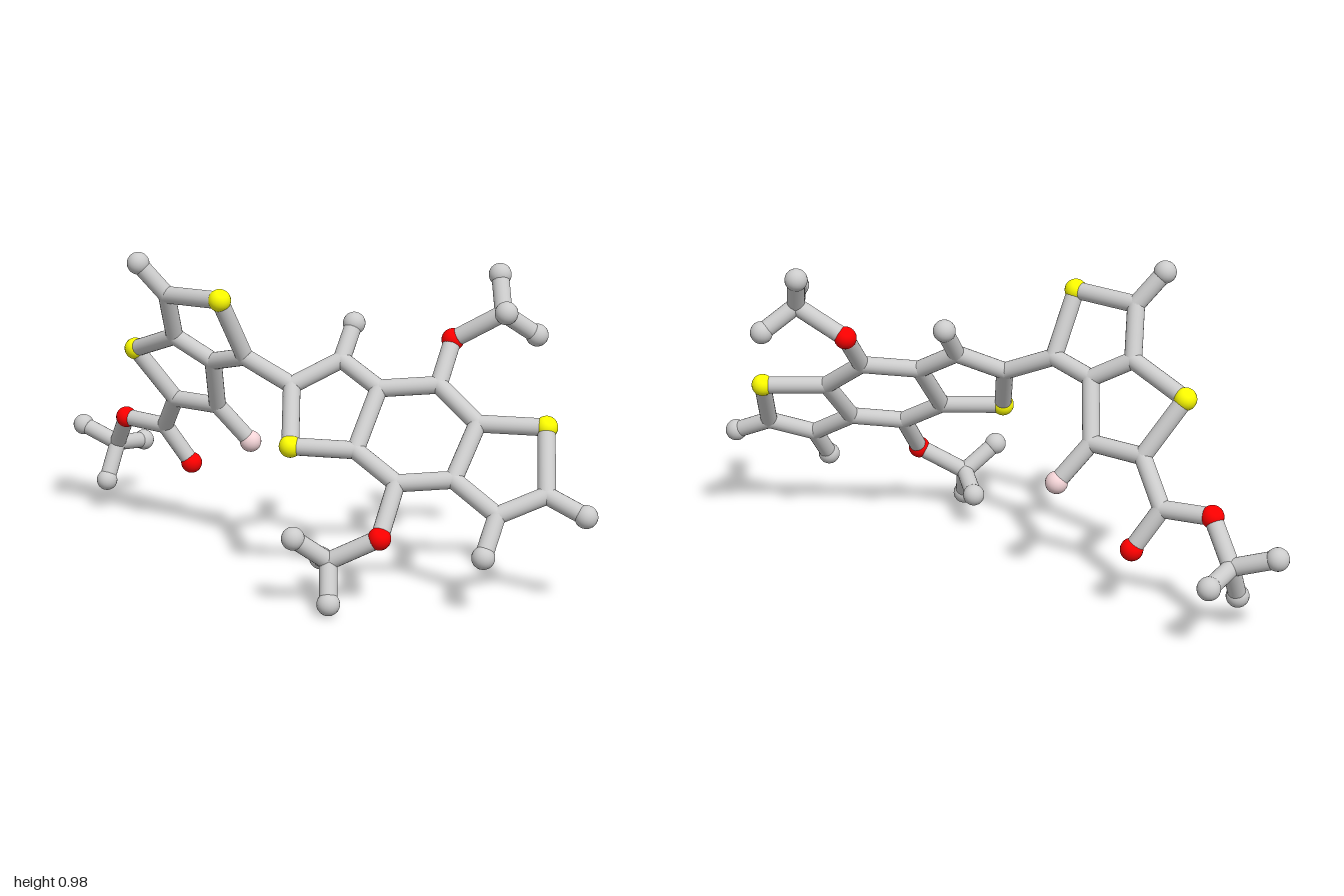
import * as THREE from 'three';

const GREY = 0xcccccc, YELLOW = 0xffff00, RED = 0xff0000, PINK = 0xf5d5d8;
const BOND_R = 0.027, BALL_R = 0.035;

// Joints: [x, y, z, kind]; kind: c = flush joint, h = end ball, s / o / p = coloured ball
const joints = {
  // left pair of fused five-sided rings
  sTop: [-0.152, 0.863, 0.16, 's'], cTop: [-0.365, 0.853, 0.135, 'c'], tipTop: [-0.438, 0.952, 0.181, 'h'],
  fuseA: [-0.393, 0.703, 0.056, 'c'], fuseB: [-0.265, 0.634, 0.031, 'c'], cLink: [-0.126, 0.671, 0.062, 'c'],
  sLeft: [-0.588, 0.628, 0, 's'], cLow: [-0.489, 0.457, -0.08, 'c'], cPink: [-0.313, 0.463, -0.063, 'c'],
  pink: [-0.227, 0.341, -0.124, 'p'],
  // left tail
  tailC: [-0.586, 0.334, -0.156, 'c'], tailO1: [-0.511, 0.206, -0.199, 'o'], tailO2: [-0.746, 0.34, -0.157, 'o'],
  tailM: [-0.833, 0.222, -0.22, 'c'], tailH1: [-0.968, 0.27, -0.208, 'h'],
  tailH2: [-0.832, 0.105, -0.154, 'h'], tailH3: [-0.815, 0.204, -0.348, 'h'],
  // inner ring of the right side
  link: [0.04, 0.602, 0.055, 'c'], cUp: [0.152, 0.674, -0.054, 'c'], tipUp: [0.147, 0.772, -0.138, 'h'],
  sInner: [0.104, 0.445, 0.167, 's'],
  // six-sided middle ring
  hexA: [0.286, 0.602, -0.05, 'c'], hexB: [0.447, 0.617, -0.132, 'c'], hexC: [0.591, 0.521, -0.112, 'c'],
  hexD: [0.58, 0.377, 0.018, 'c'], hexE: [0.43, 0.362, 0.095, 'c'], hexF: [0.286, 0.441, 0.09, 'c'],
  // outer ring
  sOuter: [0.778, 0.517, -0.195, 's'], cOut: [0.842, 0.348, -0.072, 'c'], cOutLow: [0.73, 0.294, 0.027, 'c'],
  tipOut: [0.963, 0.298, -0.087, 'h'], tipOutLow: [0.73, 0.188, 0.111, 'h'],
  // upper branch
  upO: [0.438, 0.736, -0.237, 'o'], upM: [0.588, 0.828, -0.276, 'c'], upH1: [0.543, 0.932, -0.338, 'h'],
  upH2: [0.652, 0.856, -0.162, 'h'], upH3: [0.664, 0.754, -0.356, 'h'],
  // lower branch
  lowO: [0.441, 0.225, 0.214, 'o'], lowM: [0.3, 0.146, 0.27, 'c'], lowH1: [0.228, 0.227, 0.353, 'h'],
  lowH2: [0.214, 0.111, 0.17, 'h'], lowH3: [0.338, 0.038, 0.333, 'h'],
};

// Each chain is a run of joints connected by rods
const chains = {
  leftRings: ['cLink sTop cTop fuseA fuseB cLink', 'fuseA sLeft cLow cPink fuseB', 'cTop tipTop', 'cPink pink'],
  leftTail: ['cLow tailC tailO2 tailM tailH1', 'tailC tailO1', 'tailH2 tailM tailH3'],
  bridge: ['cLink link'],
  innerRing: ['hexF sInner link cUp hexA', 'cUp tipUp'],
  middleRing: ['hexA hexB hexC hexD hexE hexF hexA'],
  outerRing: ['hexC sOuter cOut cOutLow hexD', 'cOut tipOut', 'cOutLow tipOutLow'],
  upperBranch: ['hexB upO upM upH1', 'upH2 upM upH3'],
  lowerBranch: ['hexE lowO lowM lowH1', 'lowH2 lowM lowH3'],
};

const kinds = {
  c: ['joint', BOND_R, GREY], h: ['endBall', BALL_R, GREY], s: ['yellowBall', BALL_R, YELLOW],
  o: ['redBall', BALL_R, RED], p: ['pinkBall', BALL_R, PINK],
};

export function createModel() {
  const model = new THREE.Group();
  model.name = 'ballAndStickModel';
  const materials = {};
  const material = (color) => (materials[color] ??= new THREE.MeshStandardMaterial({ color }));
  const position = (name) => new THREE.Vector3(...joints[name].slice(0, 3));
  const up = new THREE.Vector3(0, 1, 0);

  // Rods
  for (const [name, runs] of Object.entries(chains)) {
    const group = new THREE.Group();
    group.name = name;
    for (const run of runs) {
      const names = run.split(' ');
      for (let i = 1; i < names.length; i++) {
        const a = position(names[i - 1]), b = position(names[i]);
        const rod = new THREE.Mesh(
          new THREE.CylinderGeometry(BOND_R, BOND_R, a.distanceTo(b), 20, 1, true), material(GREY));
        rod.name = 'rod';
        rod.position.copy(a).lerp(b, 0.5);
        rod.quaternion.setFromUnitVectors(up, b.sub(a).normalize());
        group.add(rod);
      }
    }
    model.add(group);
  }

  // Balls and flush joints
  const balls = new THREE.Group();
  balls.name = 'balls';
  for (const [name, joint] of Object.entries(joints)) {
    const [label, radius, color] = kinds[joint[3]];
    const ball = new THREE.Mesh(new THREE.SphereGeometry(radius, 20, 14), material(color));
    ball.name = label;
    ball.position.copy(position(name));
    balls.add(ball);
  }
  model.add(balls);
  return model;
}
